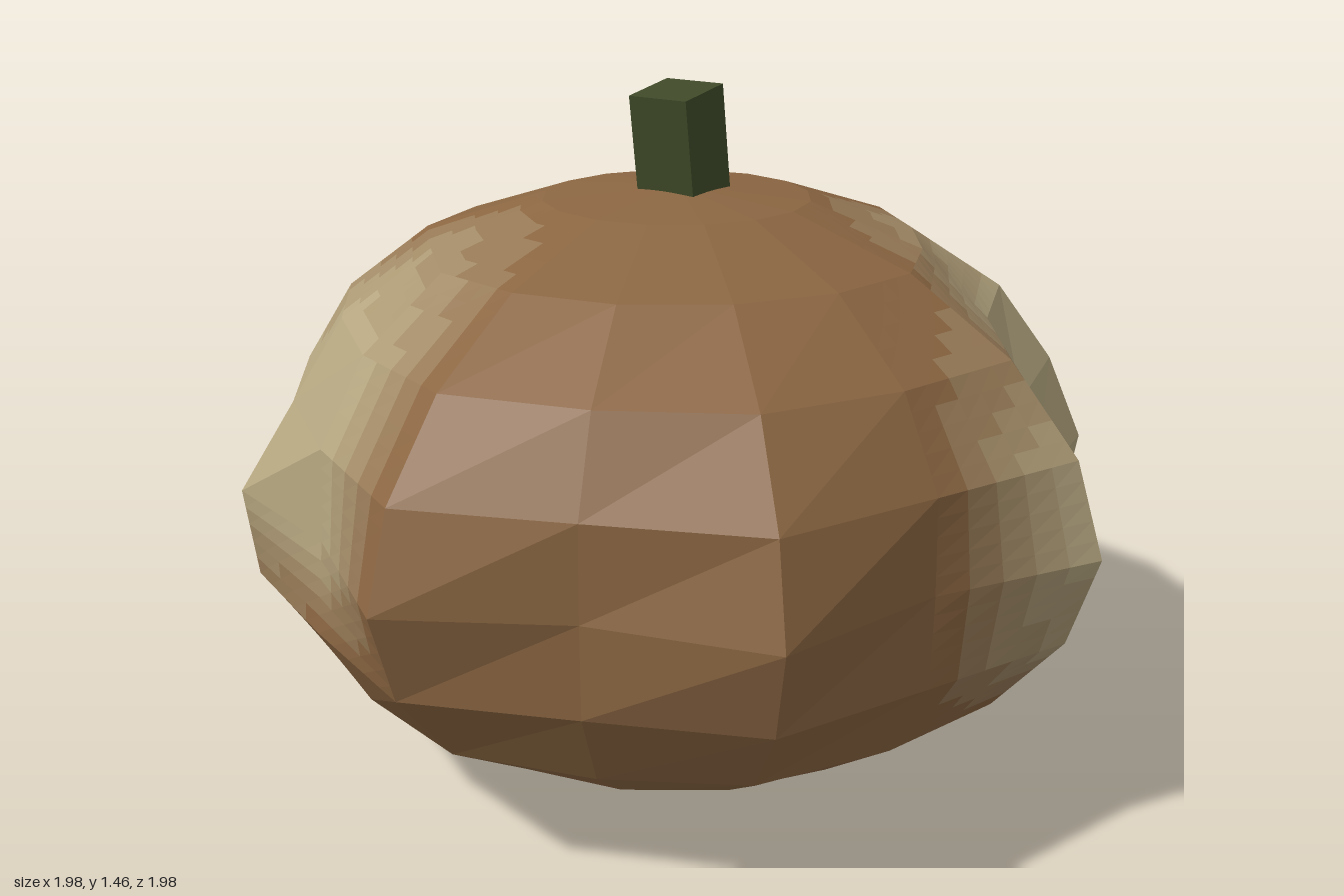
import * as THREE from 'three';

const SIDES = 16;
const LEVELS = 5; // colour steps from skin to pale patch
const SUB = 5;    // subdivisions where the colour fades

// Ring heights, and radii along the ribs and along the grooves, top to bottom
const Y = [1.255, 1.23, 1.14, 1, 0.825, 0.632, 0.44, 0.262, 0.125, 0.033, 0.005];
const RIB = [0, 0.285, 0.555, 0.778, 0.928, 0.99, 0.928, 0.778, 0.555, 0.285, 0];
const GROOVE = [0, 0.285, 0.555, 0.755, 0.86, 0.865, 0.86, 0.755, 0.555, 0.285, 0];

// Dented patches: side index -> { ring: radius }
const DENTS = {
  14: { 2: 0.52, 3: 0.73, 4: 0.86, 5: 0.945, 6: 0.91 },
  15: { 2: 0.52, 3: 0.66, 4: 0.74, 5: 0.78, 6: 0.76 },
  6: { 2: 0.52, 3: 0.71, 4: 0.82, 5: 0.94, 6: 0.915 },
  5: { 3: 0.73, 4: 0.83, 5: 0.84 },
  7: { 3: 0.74, 4: 0.85 },
};

// Paleness of the skin: side index -> { ring: 0..1 }
const PALE = {
  14: { 2: 0.6, 3: 1, 4: 1, 5: 1, 6: 0.9 },
  15: { 2: 0.4, 3: 1, 4: 1, 5: 1, 6: 0.9 },
  0: { 3: 0.3, 4: 1, 5: 1, 6: 0.8 },
  5: { 2: 0.5, 3: 1, 4: 1, 5: 1 },
  6: { 2: 0.6, 3: 1, 4: 1, 5: 1, 6: 0.2 },
  7: { 3: 0.6, 4: 1, 5: 1, 6: 0.2 },
};

function corner(i, j) {
  const side = i % SIDES;
  const a = (side / SIDES) * Math.PI * 2;
  const r = DENTS[side]?.[j] ?? (side % 2 ? GROOVE : RIB)[j];
  return {
    p: new THREE.Vector3(r * Math.cos(a), Y[j], r * Math.sin(a)),
    w: PALE[side]?.[j] ?? 0,
  };
}

const mix = (a, b, t) => ({ p: a.p.clone().lerp(b.p, t), w: a.w + (b.w - a.w) * t });

function createBody() {
  const buckets = Array.from({ length: LEVELS }, () => []);

  // Adds one quad to the bucket of its average paleness
  const addQuad = (a, b, c, d) => {
    const level = Math.round(((a.w + b.w + c.w + d.w) / 4) * (LEVELS - 1));
    for (const tri of [[a, d, c], [a, c, b]]) {
      for (const v of tri) buckets[level].push(v.p.x, v.p.y, v.p.z);
    }
  };

  for (let j = 0; j < Y.length - 1; j++) {
    for (let i = 0; i < SIDES; i++) {
      const a = corner(i, j), b = corner(i, j + 1);
      const c = corner(i + 1, j + 1), d = corner(i + 1, j);
      const plain = a.w === b.w && b.w === c.w && c.w === d.w;
      const n = plain ? 1 : SUB;
      const at = (u, v) => mix(mix(a, d, u / n), mix(b, c, u / n), v / n);
      for (let u = 0; u < n; u++) {
        for (let v = 0; v < n; v++) {
          addQuad(at(u, v), at(u, v + 1), at(u + 1, v + 1), at(u + 1, v));
        }
      }
    }
  }

  const body = new THREE.Group();
  body.name = 'body';
  const skin = new THREE.Color(0x8b6642), pale = new THREE.Color(0xb5a680);
  buckets.forEach((points, level) => {
    if (!points.length) return;
    const geometry = new THREE.BufferGeometry();
    geometry.setAttribute('position', new THREE.Float32BufferAttribute(points, 3));
    geometry.computeVertexNormals();
    const color = skin.clone().lerp(pale, level / (LEVELS - 1));
    const mesh = new THREE.Mesh(geometry, new THREE.MeshStandardMaterial({ color, flatShading: true }));
    mesh.name = level === 0 ? 'skin' : `palePatch${level}`;
    body.add(mesh);
  });
  return body;
}

export function createModel() {
  const model = new THREE.Group();
  model.name = 'pumpkin';
  model.add(createBody());

  // Square stem leaning forward, sunk into the top
  const stem = new THREE.Mesh(
    new THREE.BoxGeometry(0.14, 0.3, 0.14),
    new THREE.MeshStandardMaterial({ color: 0x3f4a28, flatShading: true })
  );
  stem.name = 'stem';
  stem.position.set(0.01, 1.307, -0.004);
  stem.rotation.x = 0.14;
  model.add(stem);
  return model;
}
